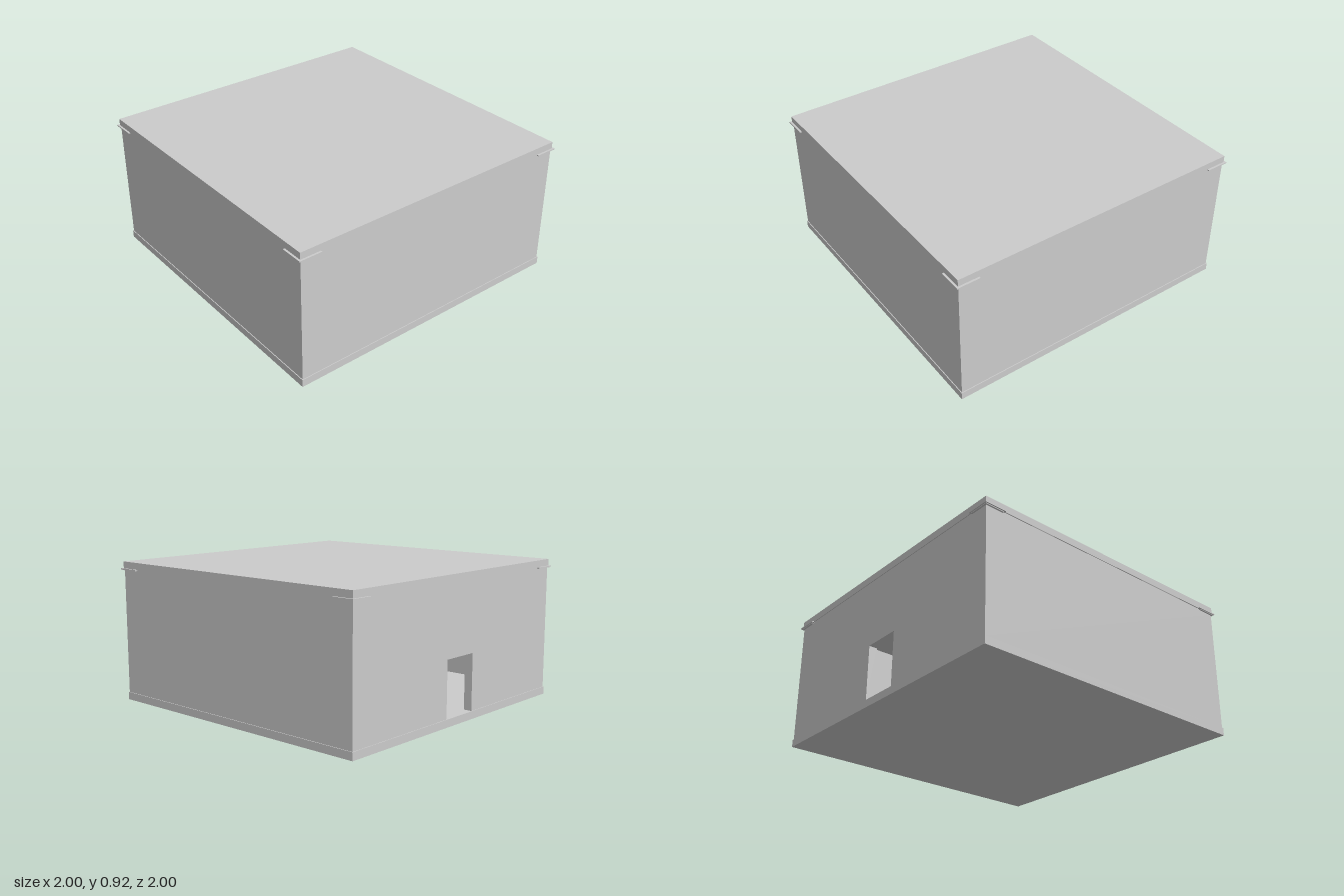
import * as THREE from 'three';

const material = new THREE.MeshStandardMaterial({ color: 0xcccccc, flatShading: true });

const SLAB = 0.987;   // half width of floor and roof
const WALL = 0.982;   // half width over the walls
const THICK = 0.055;  // wall thickness
const FLOOR = 0.05, CEILING = 0.872, TOP = 0.92;

function add(parent, name, geometry) {
  const mesh = new THREE.Mesh(geometry, material);
  mesh.name = name;
  parent.add(mesh);
  return mesh;
}

// Box given by its lowest and highest corners
function box(parent, name, [x0, y0, z0], [x1, y1, z1]) {
  const mesh = add(parent, name, new THREE.BoxGeometry(x1 - x0, y1 - y0, z1 - z0));
  mesh.position.set((x0 + x1) / 2, (y0 + y1) / 2, (z0 + z1) / 2);
  return mesh;
}

// L-shaped plate hugging a corner, lying flat with its bottom at y = 0
function cornerPlate(outer, reach, height) {
  const inner = WALL - 0.01;
  const shape = new THREE.Shape([
    [reach, inner], [inner, inner], [inner, reach],
    [outer, reach], [outer, outer], [reach, outer],
  ].map(([x, y]) => new THREE.Vector2(x, y)));
  const geometry = new THREE.ExtrudeGeometry(shape, { depth: height, bevelEnabled: false });
  return geometry.rotateX(-Math.PI / 2);
}

export function createModel() {
  const model = new THREE.Group();
  model.name = 'building';

  // Floor and roof slabs
  box(model, 'floorSlab', [-SLAB, 0, -SLAB], [SLAB, FLOOR, SLAB]);
  box(model, 'roofSlab', [-SLAB, CEILING, -SLAB], [SLAB, TOP, SLAB]);

  // Three plain walls
  const inside = WALL - THICK;
  box(model, 'frontWall', [-WALL, FLOOR, inside], [WALL, CEILING, WALL]);
  box(model, 'backWall', [-WALL, FLOOR, -WALL], [WALL, CEILING, -inside]);
  box(model, 'leftWall', [inside, FLOOR, -inside], [WALL, CEILING, inside]);

  // Wall with a doorway cut up from the floor
  const door = 0.13, doorTop = 0.415;
  const outline = new THREE.Shape([
    [-inside, FLOOR], [-door, FLOOR], [-door, doorTop], [door, doorTop],
    [door, FLOOR], [inside, FLOOR], [inside, CEILING], [-inside, CEILING],
  ].map(([x, y]) => new THREE.Vector2(x, y)));
  const doorWall = add(model, 'doorWall',
    new THREE.ExtrudeGeometry(outline, { depth: THICK, bevelEnabled: false }));
  doorWall.rotation.y = -Math.PI / 2;
  doorWall.position.x = -inside;

  // Stepped corner brackets under the roof edge
  for (let i = 0; i < 4; i++) {
    const bracket = new THREE.Group();
    bracket.name = 'cornerBracket';
    add(bracket, 'bracketPlate', cornerPlate(1, 0.85, 0.007)).position.y = 0.869;
    add(bracket, 'bracketLip', cornerPlate(0.993, 0.86, 0.005)).position.y = 0.864;
    bracket.rotation.y = i * Math.PI / 2;
    model.add(bracket);
  }

  return model;
}
